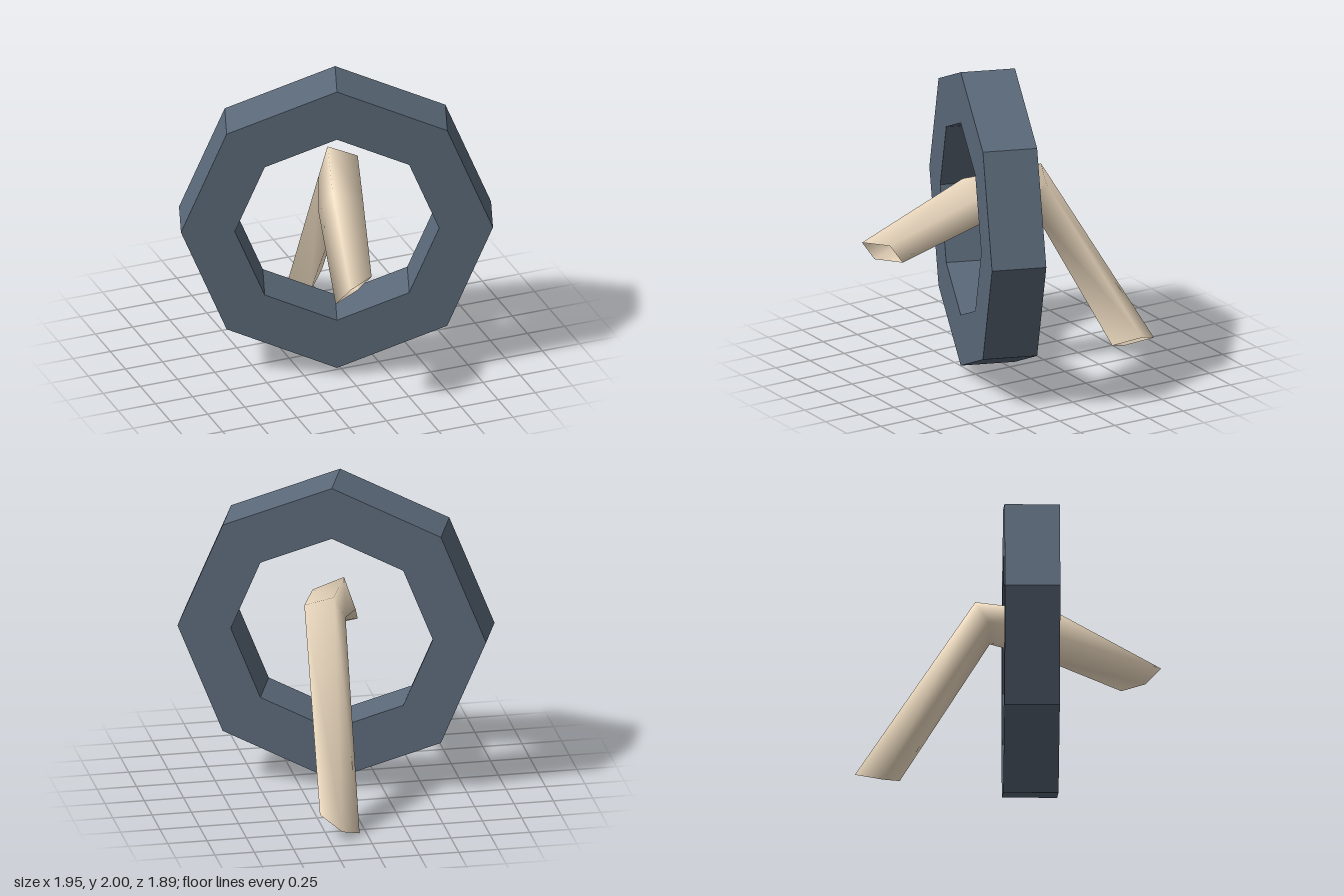
import * as THREE from 'three';

// Regular octagon with a corner pointing up
function octagon(target, radius) {
  const points = [];
  for (let i = 0; i < 8; i++) {
    const a = (i * Math.PI) / 4;
    points.push(new THREE.Vector2(radius * Math.cos(a), radius * Math.sin(a)));
  }
  target.setFromPoints(points);
  return target;
}

// Four-sided open tube; each section has a centre, a top offset and a side offset
function squareTube(sections) {
  const positions = [], normals = [], index = [];
  sections.forEach(({ center, top, side }, i) => {
    const c = new THREE.Vector3(...center);
    const t = new THREE.Vector3(...top);
    const s = new THREE.Vector3(...side);
    const offsets = [t, s, t.clone().negate(), s.clone().negate()];
    offsets.forEach((offset, k) => {
      positions.push(...c.clone().add(offset).toArray());
      normals.push(...offset.clone().normalize().toArray());
      if (i === sections.length - 1) return;
      const a = i * 4 + k, b = i * 4 + ((k + 1) % 4);
      index.push(a, b, a + 4, b, b + 4, a + 4);
    });
  });
  const geometry = new THREE.BufferGeometry();
  geometry.setAttribute('position', new THREE.Float32BufferAttribute(positions, 3));
  geometry.setAttribute('normal', new THREE.Float32BufferAttribute(normals, 3));
  geometry.setIndex(index);
  return geometry;
}

export function createModel() {
  const group = new THREE.Group();

  // Thick octagonal ring, turned slightly about the vertical
  const depth = 0.345;
  const shape = octagon(new THREE.Shape(), 0.973);
  shape.holes.push(octagon(new THREE.Path(), 0.637));
  const ringGeometry = new THREE.ExtrudeGeometry(shape, { depth, bevelEnabled: false });
  ringGeometry.translate(0, 0, -depth / 2);
  const ring = new THREE.Mesh(
    ringGeometry,
    new THREE.MeshStandardMaterial({ color: 0x5a6878, flatShading: true })
  );
  ring.name = 'octagonalRing';
  ring.position.set(0, 1.028, 0.16);
  ring.rotation.y = THREE.MathUtils.degToRad(-20);
  group.add(ring);

  // Bent open tube passing through the ring, from front to back
  const tube = new THREE.Mesh(
    squareTube([
      { center: [-0.155, 0.873, 0.837], top: [-0.065, 0.067, 0.108], side: [0.115, 0.082, 0.014] },
      { center: [-0.008, 1.155, 0.26], top: [-0.07, 0.13, 0.037], side: [0.125, 0.053, 0.059] },
      { center: [0.125, 1.228, -0.115], top: [-0.045, 0.115, -0.065], side: [0.13, 0.05, 0.005] },
      { center: [0.167, 0.07, -0.8], top: [0.012, 0.003, -0.145], side: [0.124, 0.067, 0.01] },
    ]),
    new THREE.MeshStandardMaterial({ color: 0xf2dfc4, side: THREE.DoubleSide })
  );
  tube.name = 'bentTube';
  group.add(tube);

  return group;
}
